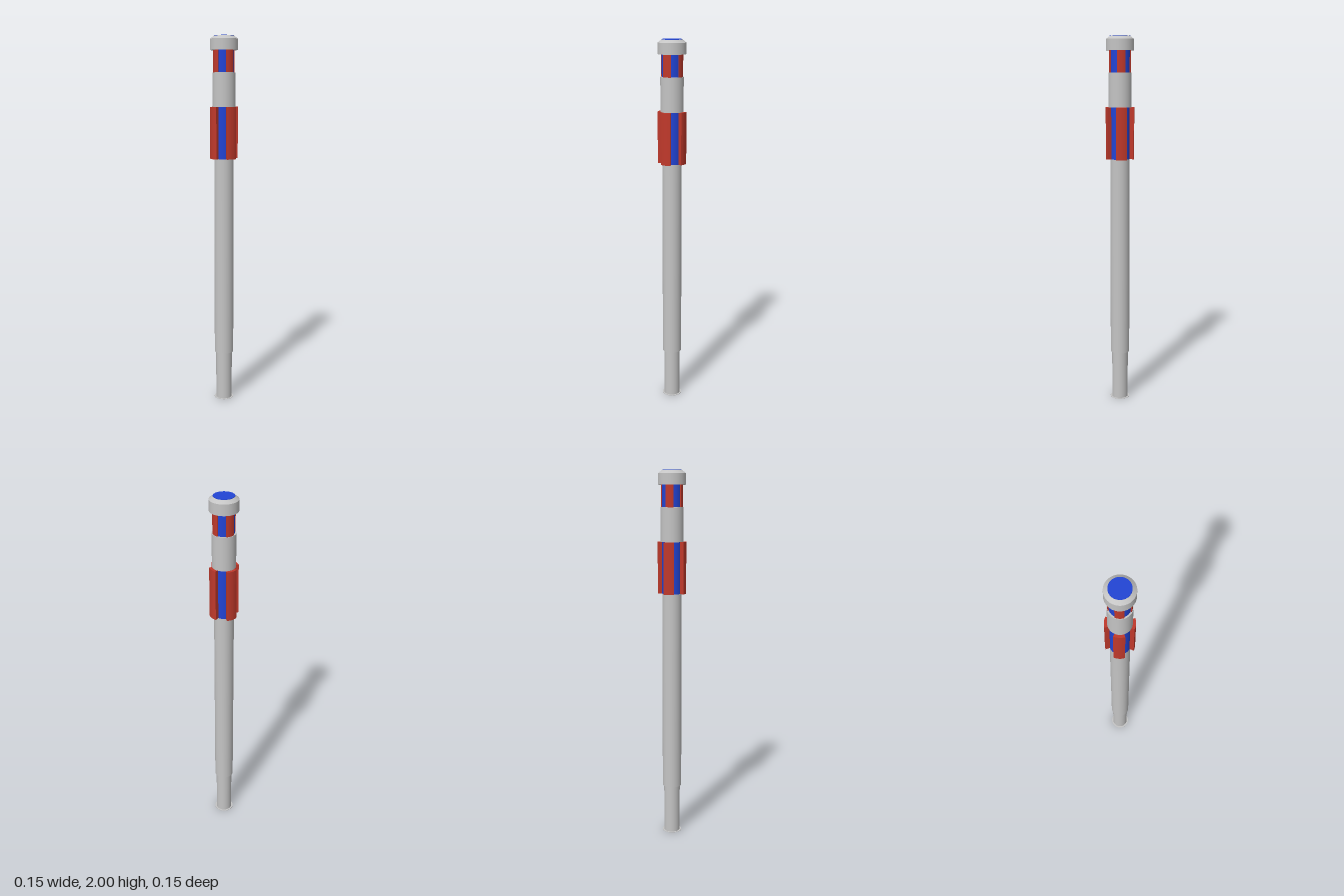
import * as THREE from 'three';

const grey = new THREE.MeshStandardMaterial({ color: 0xc4c4c4 });
grey.name = 'grey metal';
const red = new THREE.MeshStandardMaterial({ color: 0xc0392b });
red.name = 'red';
const blue = new THREE.MeshStandardMaterial({ color: 0x2244d4 });
blue.name = 'blue';

const SIDES = 48;

export function createModel() {
  const group = new THREE.Group();

  function add(name, geometry, material, y = 0) {
    const mesh = new THREE.Mesh(geometry, material);
    mesh.name = name;
    mesh.position.y = y;
    group.add(mesh);
    return mesh;
  }

  // Upright cylinder between two heights
  function tube(name, r, y0, y1, material, rTop = r) {
    const geometry = new THREE.CylinderGeometry(rTop, r, y1 - y0, SIDES);
    return add(name, geometry, material, (y0 + y1) / 2);
  }

  // Four raised ribs, each a 45 degree sector of a ring
  function ribs(name, inner, outer, y0, y1) {
    const half = Math.PI / 8;
    const shape = new THREE.Shape();
    shape.absarc(0, 0, outer, -half, half, false);
    shape.absarc(0, 0, inner, half, -half, true);
    shape.closePath();
    const geometry = new THREE.ExtrudeGeometry(shape, {
      depth: y1 - y0, bevelEnabled: false, curveSegments: 8,
    });
    geometry.rotateX(-Math.PI / 2);
    for (let i = 0; i < 4; i++) {
      add(name + (i + 1), geometry, red, y0).rotation.y = i * Math.PI / 2;
    }
  }

  // Shaft, with a narrow tip and a thin foot plate
  const foot = new THREE.CylinderGeometry(0.053, 0.053, 0.002, SIDES);
  add('footPlate', foot, grey, 0.001);
  tube('tip', 0.044, 0.002, 0.27, grey);
  tube('shaft', 0.052, 0.27, 1.355, grey);

  // Ribbed grip
  tube('gripCore', 0.053, 1.355, 1.63, blue);
  ribs('gripRib', 0.048, 0.076, 1.355, 1.63);

  // Collar and ribbed neck
  tube('collar', 0.061, 1.63, 1.81, grey);
  tube('neckCore', 0.053, 1.81, 1.925, blue);
  ribs('neckRib', 0.048, 0.058, 1.81, 1.925);

  // Cap with a bevelled rim and a blue button on top
  tube('cap', 0.074, 1.925, 1.983, grey);
  tube('capBevel', 0.074, 1.983, 1.998, grey, 0.054);
  tube('button', 0.054, 1.998, 2, blue);

  return group;
}
